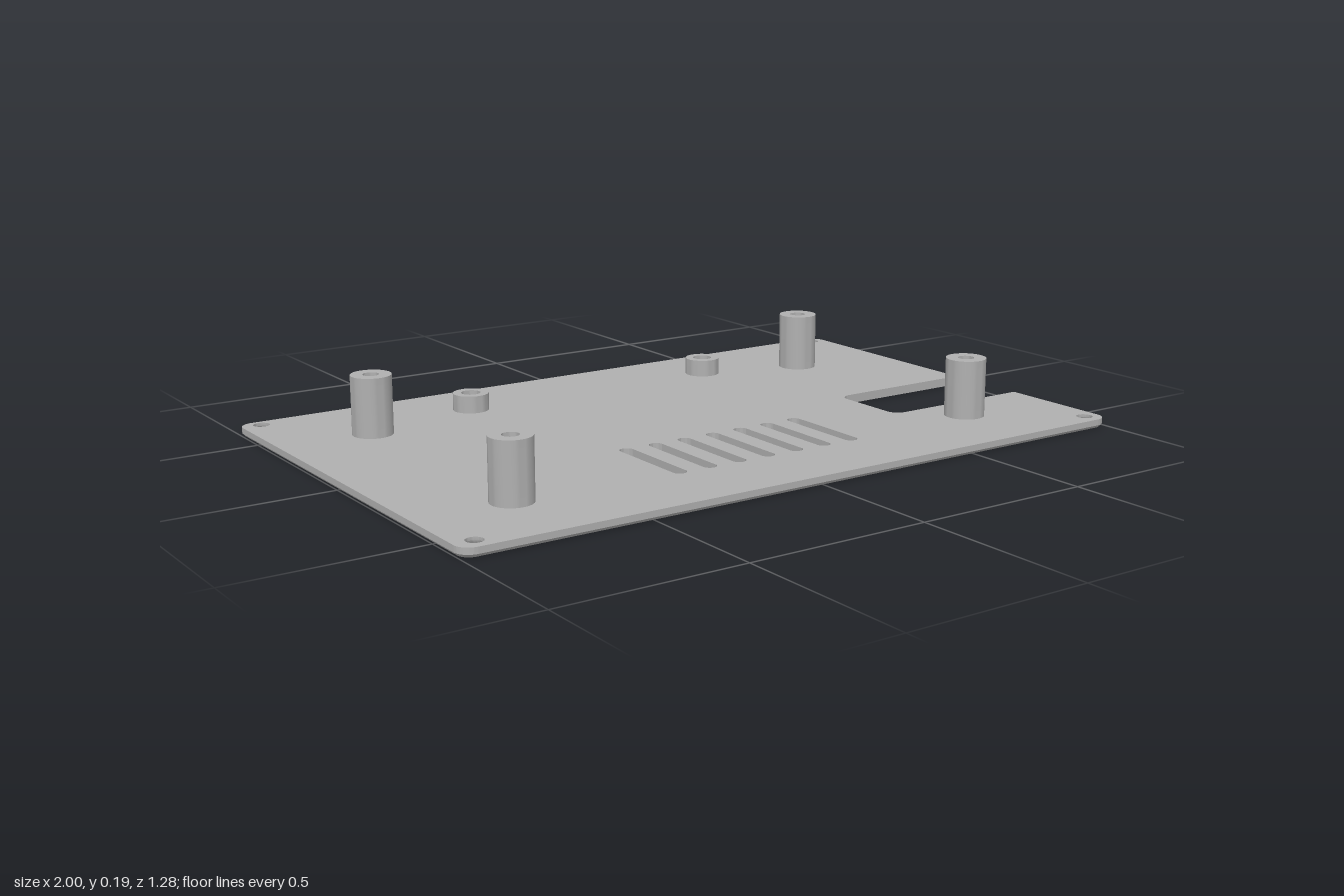
import * as THREE from 'three';
import { toCreasedNormals } from 'three/addons/utils/BufferGeometryUtils.js';

const HALF_X = 1, HALF_Z = 0.64, CORNER = 0.04, THICK = 0.025;
const screws = [[-0.945, -0.606], [0.956, -0.606], [-0.945, 0.594], [0.956, 0.594]];
const posts = [[-0.737, -0.35], [0.694, -0.35], [-0.737, 0.393], [0.694, 0.393]];
const standoffs = [[-0.396, -0.436], [0.396, -0.436]];

// Outline of the plate, drawn in x and z, with the cable notch on the left side
function plateShape() {
  const s = new THREE.Shape();
  const x = HALF_X, z = HALF_Z, r = CORNER, nx = 0.545, n0 = 0.037, n1 = 0.278, nr = 0.035;
  s.moveTo(-x + r, -z);
  s.lineTo(x - r, -z);
  s.absarc(x - r, -z + r, r, -Math.PI / 2, 0);
  s.lineTo(x, n0);
  s.lineTo(nx + nr, n0);
  s.absarc(nx + nr, n0 + nr, nr, -Math.PI / 2, -Math.PI, true);
  s.lineTo(nx, n1 - nr);
  s.absarc(nx + nr, n1 - nr, nr, Math.PI, Math.PI / 2, true);
  s.lineTo(x, n1);
  s.lineTo(x, z - r);
  s.absarc(x - r, z - r, r, 0, Math.PI / 2);
  s.lineTo(-x + r, z);
  s.absarc(-x + r, z - r, r, Math.PI / 2, Math.PI);
  s.lineTo(-x, -z + r);
  s.absarc(-x + r, -z + r, r, Math.PI, Math.PI * 1.5);

  const round = (cx, cz, rad) =>
    s.holes.push(new THREE.Path().absarc(cx, cz, rad, 0, Math.PI * 2, true));
  screws.forEach(([cx, cz]) => round(cx, cz, 0.022));
  posts.forEach(([cx, cz]) => round(cx, cz, 0.03));
  standoffs.forEach(([cx, cz]) => round(cx, cz, 0.02));

  // Ventilation slots
  for (let i = -3; i <= 3; i++) {
    const cx = i * 0.091, w = 0.019, top = 0.152 + w, bottom = 0.428 - w;
    const slot = new THREE.Path();
    slot.absarc(cx, bottom, w, 0, Math.PI);
    slot.lineTo(cx - w, top);
    slot.absarc(cx, top, w, Math.PI, Math.PI * 2);
    slot.lineTo(cx + w, bottom);
    s.holes.push(slot);
  }
  return s;
}

function plateGeometry() {
  const geo = new THREE.ExtrudeGeometry(plateShape(), {
    depth: THICK, steps: 3, bevelEnabled: false, curveSegments: 16,
  });
  geo.rotateX(Math.PI / 2).translate(0, THICK, 0);
  const p = geo.attributes.position;
  for (let i = 0; i < p.count; i++) {
    const x = p.getX(i), y = p.getY(i), z = p.getZ(i);
    if (y > 0.012) continue;
    // Countersink the screw holes from below
    const screw = screws.find(([cx, cz]) => Math.hypot(x - cx, z - cz) < 0.0225);
    if (screw) {
      const k = y < 0.001 ? 1.4 : 1.2;
      p.setX(i, screw[0] + (x - screw[0]) * k);
      p.setZ(i, screw[1] + (z - screw[1]) * k);
      continue;
    }
    // Chamfer the lower outer edge
    if (y > 0.001) continue;
    const qx = Math.abs(x) - HALF_X + CORNER, qz = Math.abs(z) - HALF_Z + CORNER;
    const ox = Math.max(qx, 0), oz = Math.max(qz, 0), d = Math.hypot(ox, oz);
    if (d > CORNER - 0.001) {
      p.setX(i, x - Math.sign(x) * 0.008 * ox / d);
      p.setZ(i, z - Math.sign(z) * 0.008 * oz / d);
    }
  }
  return toCreasedNormals(geo, 0.5);
}

function turned(profile) {
  const points = profile.map(([r, y]) => new THREE.Vector2(r, y));
  return toCreasedNormals(new THREE.LatheGeometry(points, 40), 0.5);
}

export function createModel() {
  const model = new THREE.Group();
  model.name = 'enclosurePanel';
  const grey = new THREE.MeshStandardMaterial({ color: 0xb0b0b0 });
  grey.name = 'grey';

  const add = (geometry, name, x = 0, z = 0) => {
    const mesh = new THREE.Mesh(geometry, grey);
    mesh.name = name;
    mesh.position.set(x, 0, z);
    model.add(mesh);
  };

  add(plateGeometry(), 'basePlate');

  // Tall posts: blind hole on top, wider bore from below
  const post = turned([
    [0, 0.085], [0.03, 0.085], [0.03, THICK], [0.055, THICK],
    [0.055, 0.187], [0.022, 0.187], [0.022, 0.105], [0, 0.105],
  ]);
  posts.forEach(([x, z]) => add(post, 'mountingPost', x, z));

  // Short standoffs with an open bore
  const standoff = turned([
    [0.027, THICK], [0.05, THICK], [0.05, 0.073], [0.027, 0.073], [0.027, THICK],
  ]);
  standoffs.forEach(([x, z]) => add(standoff, 'shortStandoff', x, z));

  return model;
}
